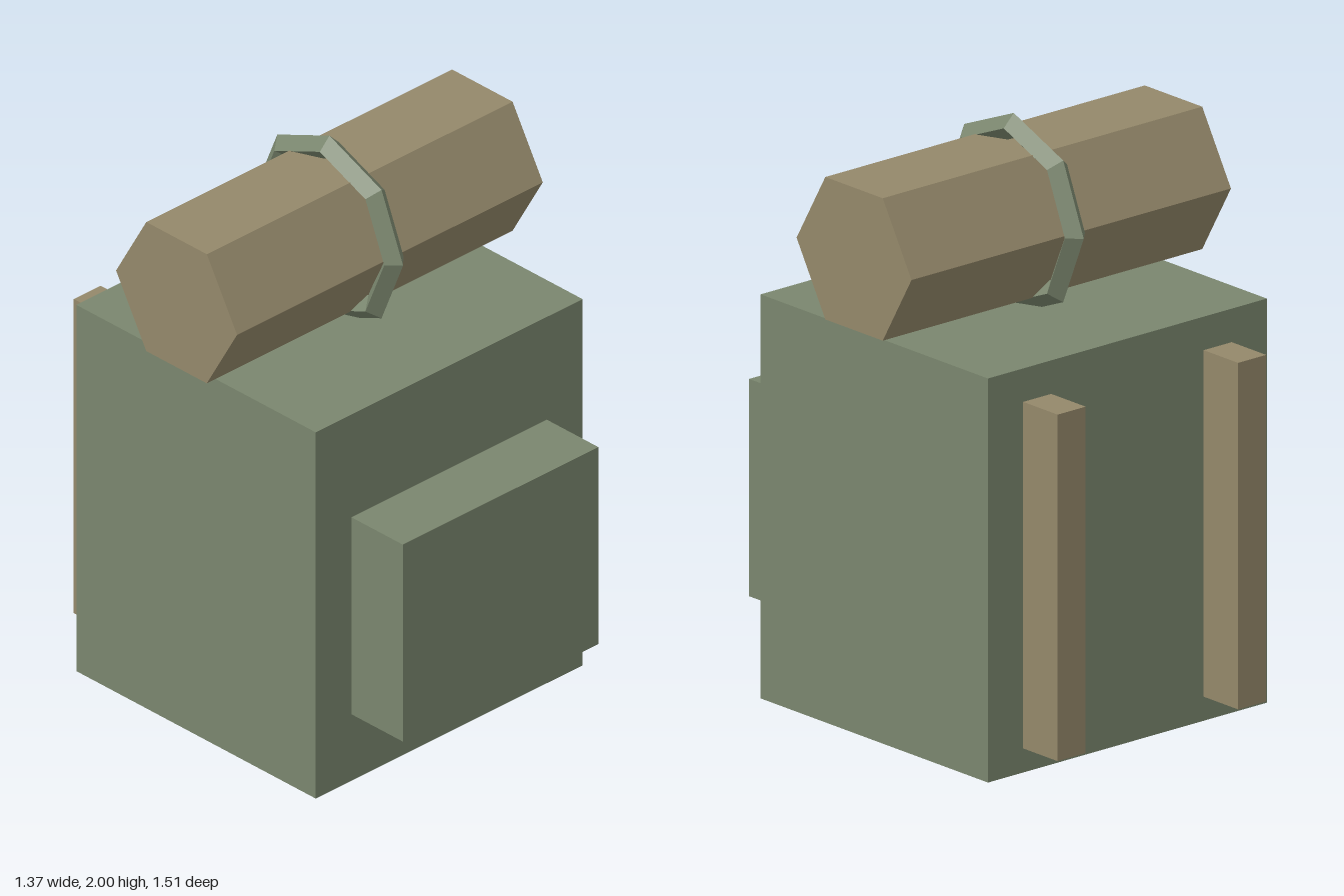
import * as THREE from 'three';

const canvas = new THREE.MeshStandardMaterial({ color: 0x7a866e, flatShading: true });
canvas.name = 'green canvas';
const tan = new THREE.MeshStandardMaterial({ color: 0x94886a, flatShading: true });
tan.name = 'tan cloth';

export function createModel() {
  const model = new THREE.Group();
  model.name = 'backpack';

  const add = (name, geometry, material, x, y, z) => {
    const mesh = new THREE.Mesh(geometry, material);
    mesh.name = name;
    mesh.position.set(x, y, z);
    model.add(mesh);
    return mesh;
  };

  // Main bag and front pocket
  add('bag', new THREE.BoxGeometry(1.196, 1.376, 1.108), canvas, 0, 0.688, -0.036);
  add('frontPocket', new THREE.BoxGeometry(0.876, 0.74, 0.24), canvas, 0, 0.62, 0.636);

  // Shoulder straps on the back
  for (const side of [1, -1]) {
    const name = side > 0 ? 'leftStrap' : 'rightStrap';
    add(name, new THREE.BoxGeometry(0.12, 1.18, 0.17), tan, side * 0.387, 0.672, -0.673);
  }

  // Six-sided bedroll lying across the top
  const roll = new THREE.CylinderGeometry(0.28, 0.28, 1.37, 6).rotateZ(Math.PI / 2);
  add('bedroll', roll, tan, 0, 1.66, -0.036);

  // Octagonal tie around the bedroll
  const tie = new THREE.TorusGeometry(0.298, 0.043, 4, 8).rotateY(Math.PI / 2);
  add('bedrollTie', tie, canvas, 0, 1.66, -0.036);

  return model;
}
